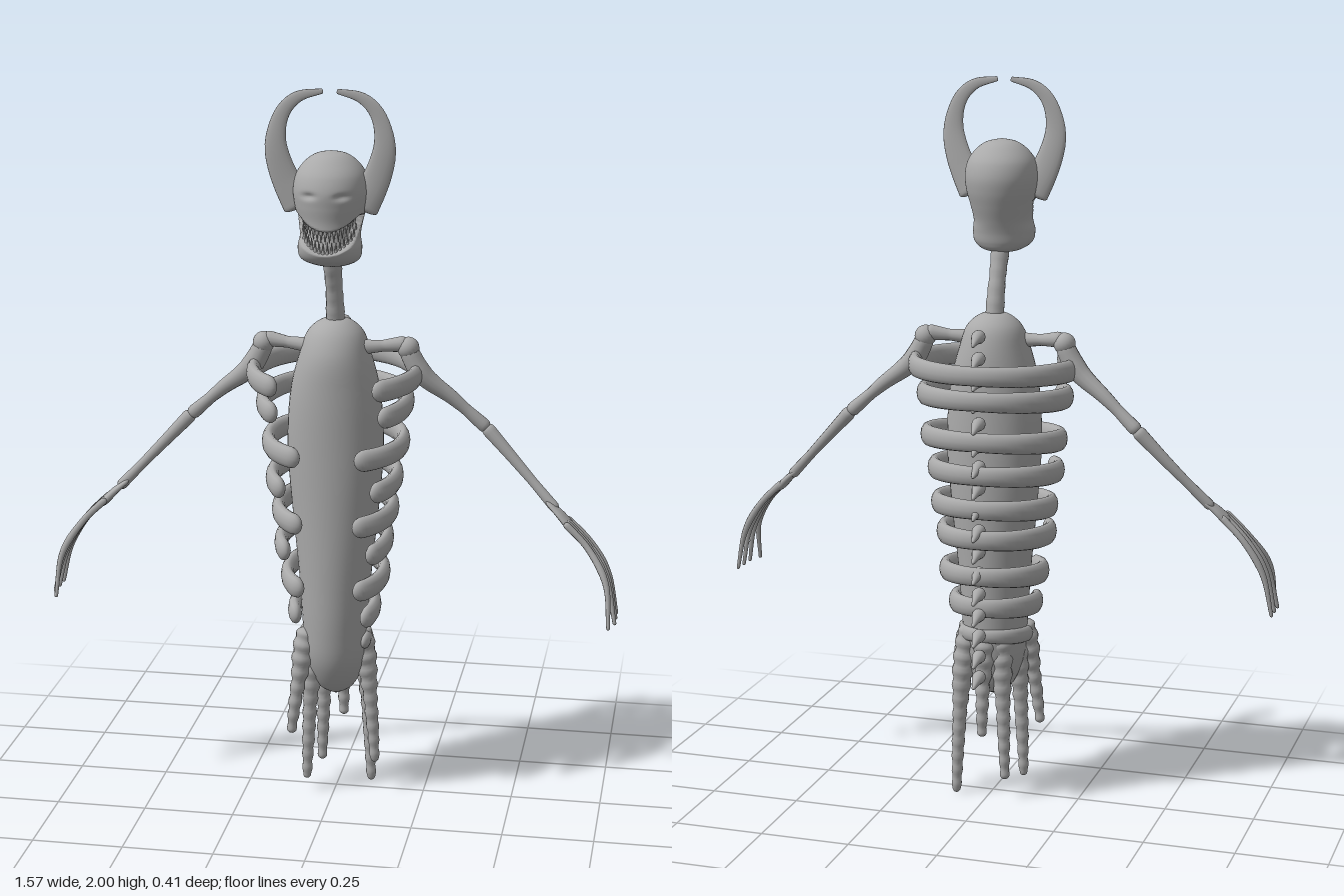
import * as THREE from 'three';

const bone = new THREE.MeshStandardMaterial({ color: 0xaaaaaa });
bone.name = 'bone grey';
const V = (x, y, z) => new THREE.Vector3(x, y, z);

// closed-ring surface; point(t, angle) runs counter-clockwise about the direction of t
function skin(rings, sides, point) {
  const pos = [], idx = [];
  for (let i = 0; i <= rings; i++) {
    for (let j = 0; j < sides; j++) pos.push(...point(i / rings, (j / sides) * Math.PI * 2).toArray());
  }
  for (let i = 0; i < rings; i++) {
    for (let j = 0; j < sides; j++) {
      const k = (j + 1) % sides, a = i * sides, b = a + sides;
      idx.push(a + j, a + k, b + k, a + j, b + k, b + j);
    }
  }
  const g = new THREE.BufferGeometry();
  g.setAttribute('position', new THREE.Float32BufferAttribute(pos, 3));
  g.setIndex(idx);
  g.computeVertexNormals();
  return g;
}

// tapered limb with rounded ends; ref is the axis of the first radius, flat scales the second
function limb(points, radii, { ref = V(0, 0, 1), flat = 1, rings = 32, sides = 12, bump = 0 } = {}) {
  const curve = new THREE.CatmullRomCurve3(points);
  const length = curve.getLength();
  return skin(rings, sides, (s, angle) => {
    const t = (1 - Math.cos(s * Math.PI)) / 2;
    const f = t * (radii.length - 1), i = Math.min(Math.floor(f), radii.length - 2);
    let r = THREE.MathUtils.lerp(radii[i], radii[i + 1], f - i);
    const d = Math.min(1, (Math.min(t, 1 - t) * length) / r);
    r *= Math.sqrt(Math.max(0, 1 - (1 - d) ** 2)) * (1 + bump * Math.sin(t * length * 150));
    const tan = curve.getTangentAt(t);
    const u = ref.clone().addScaledVector(tan, -ref.dot(tan)).normalize();
    const v = tan.clone().cross(u);
    return curve.getPointAt(t).addScaledVector(u, r * Math.cos(angle)).addScaledVector(v, r * flat * Math.sin(angle));
  });
}

// upright form from rows of [y, half width, front z, back z], with an optional radius rule
function form(rows, rings, sides, rule = () => 1) {
  const width = new THREE.CatmullRomCurve3(rows.map(r => V(r[0], r[1], 0)));
  const depth = new THREE.CatmullRomCurve3(rows.map(r => V(r[0], r[2], r[3])));
  return skin(rings, sides, (t, a) => {
    const w = width.getPoint(t), d = depth.getPoint(t);
    const k = rule(w.x, a, w.y);
    return V(Math.max(0, w.y) * Math.sin(a) * k, w.x, (d.y + d.z) / 2 + ((d.y - d.z) / 2) * Math.cos(a) * k);
  });
}

export function createModel() {
  const model = new THREE.Group();
  const add = (name, geometry, parent = model) => {
    const mesh = new THREE.Mesh(geometry, bone);
    mesh.name = name;
    parent.add(mesh);
    return mesh;
  };
  const group = name => {
    const g = new THREE.Group();
    g.name = name;
    model.add(g);
    return g;
  };

  // torso
  add('torso', form([
    [0.29, 0, 0.01, 0.01], [0.32, 0.05, 0.06, -0.05], [0.4, 0.083, 0.105, -0.075], [0.5, 0.09, 0.12, -0.082],
    [0.65, 0.1, 0.125, -0.09], [0.85, 0.12, 0.125, -0.1], [1.02, 0.132, 0.125, -0.1], [1.18, 0.122, 0.125, -0.095],
    [1.28, 0.097, 0.118, -0.085], [1.34, 0.075, 0.09, -0.065], [1.37, 0.04, 0.055, -0.03], [1.38, 0, 0.012, 0.012],
  ], 48, 40));

  // neck
  add('neck', limb([V(0, 1.35, 0.01), V(0, 1.44, 0.03), V(0, 1.58, 0.08)], [0.027, 0.023, 0.027], { bump: 0.03 }));

  // skull with the mouth and eye sockets pressed in
  const mouthY = a => 1.61 + 0.065 * (1 - Math.cos(a));
  const { smoothstep } = THREE.MathUtils;
  add('skull', form([
    [1.53, 0, 0.075, 0.075], [1.54, 0.052, 0.125, 0.035], [1.56, 0.08, 0.17, 0.022], [1.59, 0.085, 0.186, 0.015],
    [1.62, 0.08, 0.182, 0.005], [1.66, 0.086, 0.18, -0.01], [1.7, 0.096, 0.185, -0.022], [1.74, 0.1, 0.187, -0.026],
    [1.78, 0.092, 0.173, -0.015], [1.81, 0.071, 0.147, 0.01], [1.83, 0.043, 0.12, 0.037], [1.84, 0, 0.08, 0.08],
  ], 110, 72, (y, a, w) => {
    const c = Math.cos(a), h = 0.031 * smoothstep(c, -0.05, 0.5);
    const mouth = h > 0 ? 1 - smoothstep(Math.abs(y - mouthY(a)), h * 0.75, h + 0.002) : 0;
    const ex = (Math.abs(w * Math.sin(a)) - 0.045) / 0.018, ey = (y - 1.733) / 0.008;
    const eye = c > 0 ? Math.exp(-ex * ex - ey * ey) : 0;
    return 1 - 0.24 * mouth - 0.08 * eye;
  }));

  // teeth
  const teeth = group('teeth');
  for (let i = 0; i < 17; i++) {
    const a = (i / 16 - 0.5) * 2.5;
    for (const s of [1, -1]) {
      const shift = s > 0 ? 0 : 0.07;
      const tooth = add(s > 0 ? 'upperTooth' : 'lowerTooth', new THREE.ConeGeometry(0.0055, 0.036, 6), teeth);
      tooth.position.set(0.073 * Math.sin(a + shift), mouthY(a) + s * 0.014, 0.09 + 0.082 * Math.cos(a + shift));
      if (s > 0) tooth.rotation.x = Math.PI;
    }
  }

  // ribs: [front y, half width, front z, back z, tip x]
  const ribs = group('ribs');
  [
    [1.22, 0.222, 0.2, -0.195, 0.13], [1.13, 0.197, 0.155, -0.175, 0.14], [1.015, 0.185, 0.16, -0.16, 0.075],
    [0.92, 0.17, 0.155, -0.15, 0.12], [0.825, 0.157, 0.158, -0.148, 0.07], [0.74, 0.145, 0.152, -0.147, 0.11],
    [0.635, 0.133, 0.14, -0.14, 0.07], [0.54, 0.11, 0.11, -0.115, 0.09], [0.45, 0.09, 0.065, -0.085, 0.085],
  ].forEach(([y, w, front, back, tip], i) => {
    const a0 = Math.asin(tip / w), hz = (front - back) / (1 + Math.cos(a0)), pts = [];
    for (let k = 0; k <= 20; k++) {
      const a = a0 + (k / 20) * (Math.PI * 2 - 2 * a0);
      pts.push(V(w * Math.sin(a), y + (i ? 0.035 : 0.018) * (1 - Math.cos(a)) / 2, back + hz + hz * Math.cos(a)));
    }
    const r = i === 8 ? 0.022 : 0.031;
    add('rib', limb(pts, [r, r, r * 0.85, r, r], { ref: V(0, 1, 0), flat: 0.6, rings: 56 }), ribs);
  });

  // spine spikes, tilted back and down
  const spine = group('spine');
  for (let i = 0; i < 17; i++) {
    const y = 1.335 - i * 0.0595;
    add('spineSpike', limb([V(0, y, -0.11), V(0, y - 0.005, -0.145), V(0, y - 0.02, -0.185)],
      [0.018, 0.019, 0.01, 0.004], { ref: V(1, 0, 0), rings: 14 }), spine);
  }

  // trailing tendrils: [x, lowest y, z]
  const tendrils = group('tendrils');
  [[-0.115, 0.19, 0.08], [-0.077, 0.04, 0.045], [-0.05, 0.06, -0.05],
    [0.008, 0.19, -0.08], [0.093, 0.005, -0.05], [0.113, 0.09, 0.015]].forEach(([x, y, z]) => {
    add('tendril', limb([V(x * 0.62, 0.5, z * 0.7), V(x * 0.8, 0.37, z * 0.9), V(x * 0.93, (y + 0.33) / 2, z), V(x, y, z)],
      [0.032, 0.03, 0.02, 0.017, 0.012], { bump: 0.1, rings: 64 }), tendrils);
  });

  // horns, arms and hands on both sides
  for (const s of [1, -1]) {
    const side = s > 0 ? 'left' : 'right';
    const P = (x, y, z) => V(s * x, y, z);
    add(side + 'Horn', limb(
      [P(0.075, 1.69, 0.09), P(0.122, 1.77, 0.095), P(0.144, 1.86, 0.1), P(0.125, 1.94, 0.1), P(0.085, 1.98, 0.1), P(0.018, 1.997, 0.1)],
      [0.016, 0.012, 0.01, 0.007, 0.005, 0.002], { flat: 3.2, rings: 40, sides: 16 }));

    const arm = group(side + 'Arm');
    add('collarBone', limb([P(0.06, 1.3, 0.03), P(0.13, 1.305, 0.02), P(0.2, 1.312, 0.01)], [0.022, 0.016, 0.024], {}), arm);
    const shoulder = add('shoulder', new THREE.SphereGeometry(0.03, 20, 14), arm);
    shoulder.position.set(s * 0.198, 1.3, 0.012);
    add('upperArm', limb([P(0.19, 1.31, 0.012), P(0.235, 1.23, 0.01), P(0.32, 1.16, -0.005), P(0.415, 1.075, -0.018)],
      [0.026, 0.03, 0.022, 0.016, 0.02]), arm);
    add('forearm', limb([P(0.405, 1.085, -0.018), P(0.5, 0.985, 0), P(0.61, 0.87, 0.03)],
      [0.02, 0.016, 0.013, 0.015]), arm);
    add('palm', limb([P(0.58, 0.895, 0.026), P(0.62, 0.862, 0.04), P(0.66, 0.82, 0.052)],
      [0.018, 0.03, 0.036], { flat: 0.35 }), arm);
    [[0.02, 0.025], [0.047, 0.067], [0.068, 0.112], [0.088, 0.155]].forEach(([z0, z1], i) => {
      const mid = (z0 + z1) / 2, end = 0.78 - (i === 3 ? 0.015 : 0);
      add('finger', limb([P(0.635, 0.85, z0 * 0.8 + 0.008), P(0.7, 0.785, z0), P(0.752, 0.7, mid), P(end, 0.58, z1)],
        [0.01, 0.009, 0.01, 0.007, 0.005], { sides: 8 }), arm);
    });
  }
  return model;
}
